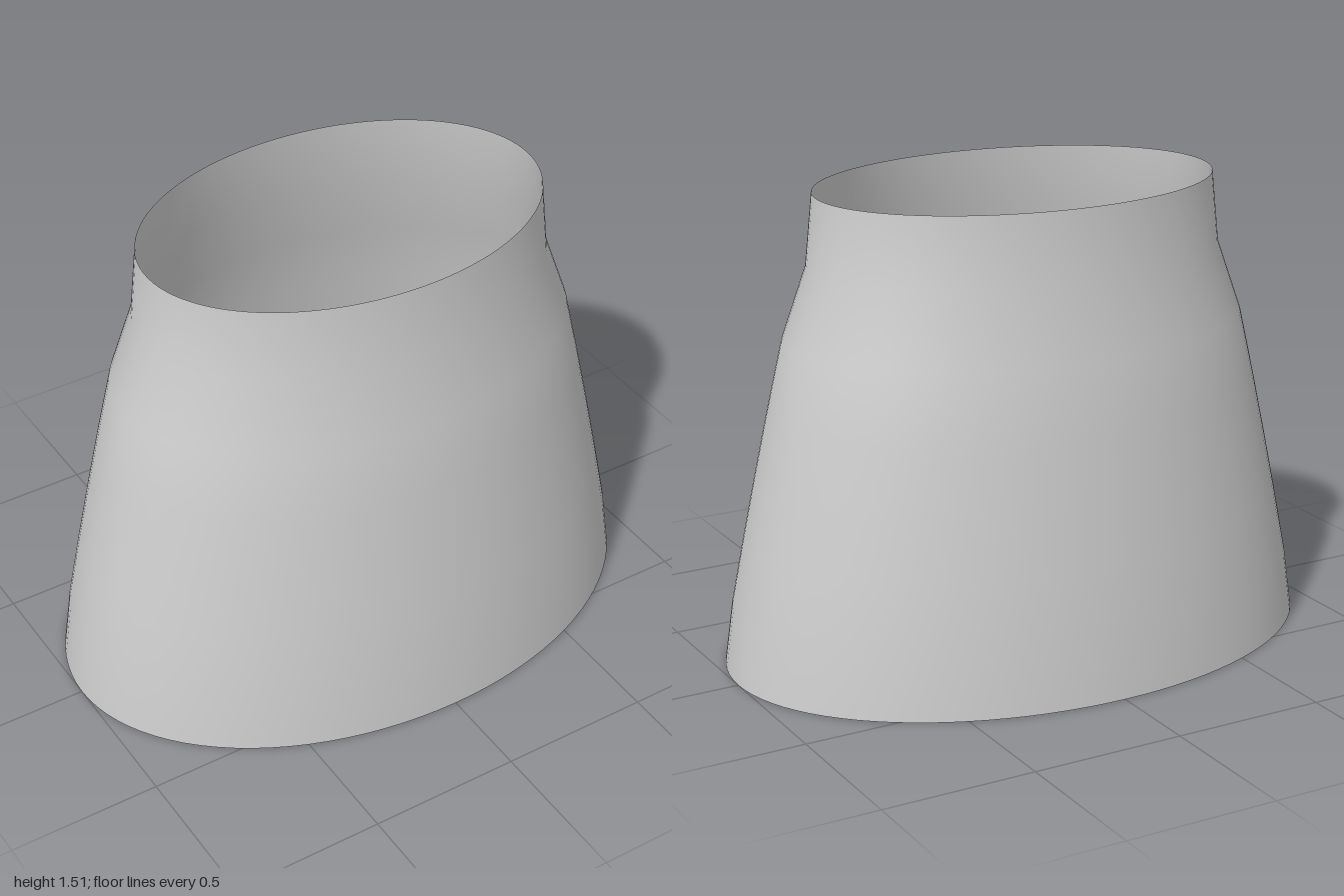
import * as THREE from 'three';

export function createModel() {
  const group = new THREE.Group();
  group.name = 'flaredSleeve';

  const lightGrey = new THREE.MeshStandardMaterial({ color: 0xcccccc, side: THREE.DoubleSide });
  lightGrey.name = 'lightGrey';

  // Half-width and height of each ring, from the wide hem to the narrow collar
  const profile = [
    [1.0, 0], [0.971, 0.2], [0.928, 0.41], [0.883, 0.62],
    [0.836, 0.83], [0.784, 1.05], [0.7, 1.28], [0.675, 1.515],
  ].map(([r, y]) => new THREE.Vector2(r, y));

  // Open shell, flattened front to back into an ellipse
  const geometry = new THREE.LatheGeometry(profile, 96);
  geometry.scale(1, 1, 0.69);

  const shell = new THREE.Mesh(geometry, lightGrey);
  shell.name = 'shell';
  group.add(shell);
  return group;
}
